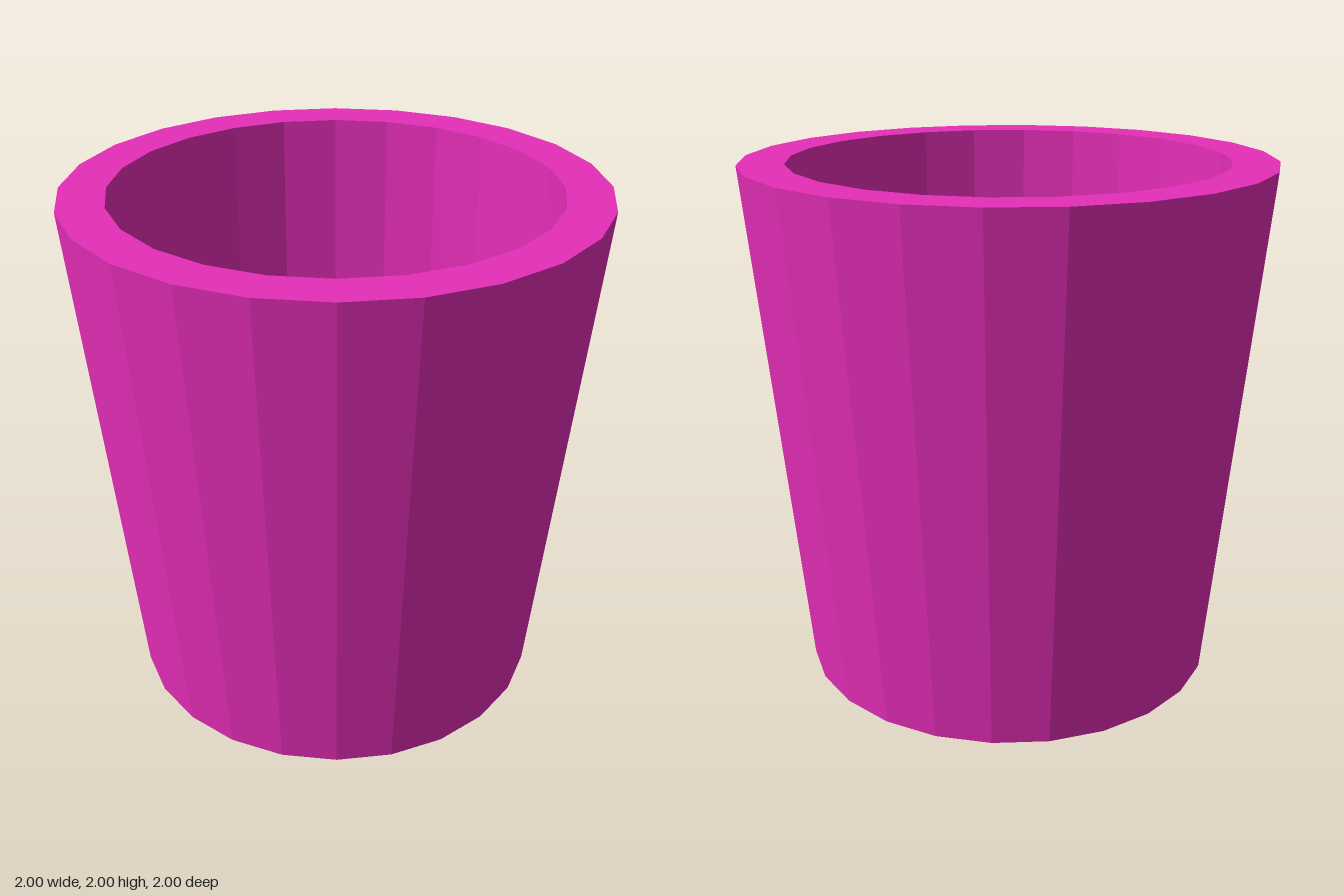
import * as THREE from 'three';

const SIDES = 24;

export function createModel() {
  const model = new THREE.Group();
  model.name = 'cup';

  // Closed profile: underside, flared outer wall, flat rim, near-straight inner wall, floor
  const profile = [
    [0, 0],
    [0.813, 0],
    [1, 2],
    [0.827, 2],
    [0.81, 0.1],
    [0, 0.1],
  ].map(([r, y]) => new THREE.Vector2(r, y));

  const cupBody = new THREE.Mesh(
    new THREE.LatheGeometry(profile, SIDES),
    new THREE.MeshStandardMaterial({ color: 0xe62eb8, flatShading: true })
  );
  cupBody.name = 'cupBody';
  model.add(cupBody);

  return model;
}
